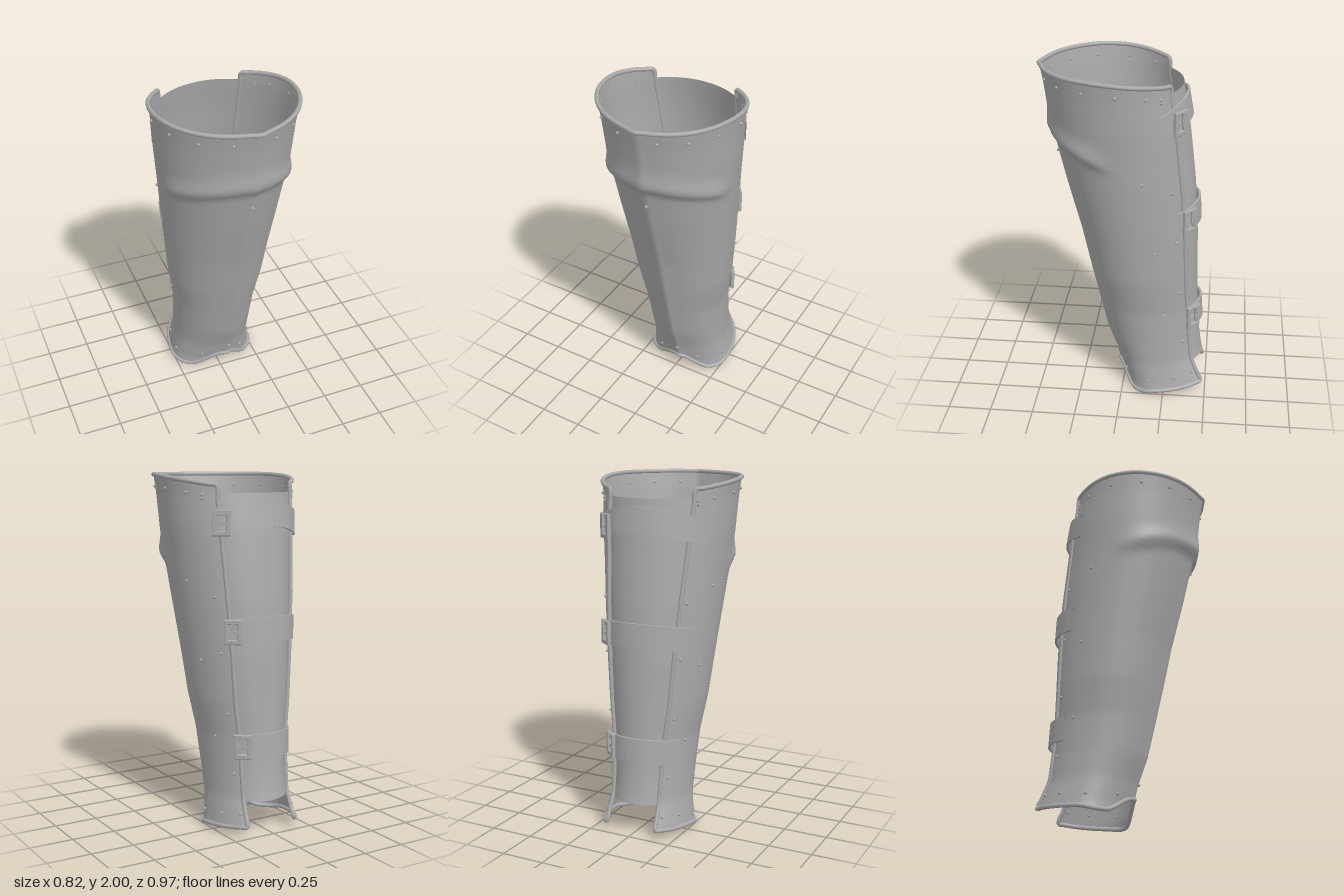
import * as THREE from 'three';
import { toCreasedNormals } from 'three/addons/utils/BufferGeometryUtils.js';

const steel = new THREE.MeshStandardMaterial({ color: 0xaaaaaa, side: THREE.DoubleSide });
steel.name = 'steel grey';

// Section profile by height: y, half width, front z, widest z, back z
const PROFILE = [
  [0.0, 0.262, 0.0, -0.2, -0.56],
  [0.06, 0.25, 0.01, -0.2, -0.55],
  [0.2, 0.233, 0.045, -0.18, -0.478],
  [0.35, 0.235, 0.1, -0.16, -0.458],
  [0.55, 0.246, 0.148, -0.13, -0.445],
  [0.75, 0.28, 0.195, -0.1, -0.438],
  [1.0, 0.305, 0.25, -0.07, -0.432],
  [1.3, 0.335, 0.33, -0.03, -0.413],
  [1.5, 0.355, 0.378, 0.0, -0.39],
  [1.7, 0.375, 0.425, 0.015, -0.365],
  [1.88, 0.387, 0.45, 0.025, -0.333],
  [2.0, 0.4, 0.472, 0.03, -0.32],
];
function section(y) {
  let i = 0;
  while (i < PROFILE.length - 2 && PROFILE[i + 1][0] < y) i++;
  const a = PROFILE[i], b = PROFILE[i + 1];
  const t = THREE.MathUtils.clamp((y - a[0]) / (b[0] - a[0]), 0, 1);
  return a.map((v, k) => v + (b[k] - v) * t);
}

// Point on the leg surface: angle 0 is the front, PI the back, positive towards +x
function surface(angle, y, off = 0) {
  const [, w, zf, zc, zb] = section(y);
  const a = Math.abs(angle), s = Math.sin(angle), c = Math.cos(angle);
  const keel = Math.exp(-a / 0.16);
  // Ridge below the knee, sagging towards the sides
  const d = y - (1.625 - 0.11 * Math.min(1, (a / 1.35) ** 1.5));
  const fade = 1 - THREE.MathUtils.smoothstep(a, 1.0, 1.6);
  const ridge = 0.026 * fade * Math.exp(-((d / (d > 0 ? 0.07 : 0.035)) ** 2));
  const r = off + ridge;
  const depth = c > 0 ? zf - zc - 0.022 : zc - zb;
  return new THREE.Vector3(
    w * s + 0.035 * Math.exp(-a / 0.5) + r * s, y, zc + depth * c + 0.022 * keel + r * c);
}

// Smooth sheet from a function of u and v
function sheet(nu, nv, f) {
  const pos = [], index = [];
  for (let j = 0; j <= nv; j++) {
    for (let i = 0; i <= nu; i++) {
      pos.push(...f(i / nu, j / nv).toArray());
      if (i < nu && j < nv) {
        const a = j * (nu + 1) + i, b = a + nu + 1;
        index.push(a, a + 1, b, a + 1, b + 1, b);
      }
    }
  }
  const g = new THREE.BufferGeometry();
  g.setAttribute('position', new THREE.Float32BufferAttribute(pos, 3));
  g.setIndex(index);
  g.computeVertexNormals();
  return g;
}

// Upper and lower borders of the shell
const topY = (a) => 1.986 - 0.055 * (Math.max(0, Math.abs(a) - 1.2) / 1.3) ** 1.5;
const bottomY = (a) => {
  const t = Math.abs(a);
  return 0.014 + 0.052 * (1 + Math.cos(Math.PI * Math.min(t / 0.85, 1)))
    + 0.045 * Math.max(0, t - 1.1) / 1.4;
};
function shellPoint(u, v) {
  const left = Math.PI - THREE.MathUtils.lerp(0.68, 0.62, v);
  const right = Math.PI - THREE.MathUtils.lerp(0.68, 0.78, v);
  const k = 2 * u - 1;
  const angle = k * (k > 0 ? left : right);
  return surface(angle, THREE.MathUtils.lerp(bottomY(angle), topY(angle), v));
}

export function createModel() {
  const model = new THREE.Group();
  model.name = 'legArmor';
  const add = (name, geometry, parent = model) => {
    const mesh = new THREE.Mesh(geometry, steel);
    mesh.name = name;
    parent.add(mesh);
    return mesh;
  };

  // Front shell, open at the back
  add('shell', sheet(80, 80, shellPoint));

  // Rolled rim round all four borders
  const path = [];
  const N = 48, M = 24;
  for (let i = 0; i < N; i++) path.push(shellPoint(i / N, 1));
  for (let i = 0; i < M; i++) path.push(shellPoint(1, 1 - i / M));
  for (let i = 0; i < N; i++) path.push(shellPoint(1 - i / N, 0));
  for (let i = 0; i < M; i++) path.push(shellPoint(0, i / M));
  add('rolledRim', new THREE.TubeGeometry(
    new THREE.CatmullRomCurve3(path, true), 500, 0.0125, 8, true));

  // Calf plate behind the opening
  add('calfPlate', sheet(28, 40, (u, v) => surface(
    Math.PI + THREE.MathUtils.lerp(-0.85, 0.98, u), THREE.MathUtils.lerp(0.19, 1.89, v), -0.008)));

  // Three straps with buckles on the +x side
  const frame = new THREE.Shape();
  frame.moveTo(-0.045, -0.065).lineTo(0.045, -0.065).lineTo(0.045, 0.065).lineTo(-0.045, 0.065);
  const hole = new THREE.Path();
  hole.moveTo(-0.028, -0.046).lineTo(-0.028, 0.046).lineTo(0.028, 0.046).lineTo(0.028, -0.046);
  frame.holes.push(hole);
  const frameGeometry = new THREE.ExtrudeGeometry(frame, {
    depth: 0.014, bevelEnabled: true, bevelSize: 0.004, bevelThickness: 0.004, bevelSegments: 1 });

  const loop = [[0.004, -1], [0.017, -1], [0.017, 1], [0.004, 1], [0.004, -1]];
  for (const [y, lift, start] of [[1.71, 0.07, 0.92], [1.125, 0.03, 0.78], [0.485, 0.02, 0.72]]) {
    const strap = new THREE.Group();
    strap.name = 'strapWithBuckle';
    model.add(strap);
    const band = sheet(28, 4, (u, v) => {
      const d = THREE.MathUtils.lerp(-start, 1.02, u);
      const [off, side] = loop[Math.round(v * 4)];
      const yc = y + lift * Math.max(0, Math.cos(d * 1.6));
      // Angles past PI wrap to the -x side
      const angle = d > 0 ? d - Math.PI : d + Math.PI;
      return surface(angle, yc + side * 0.068, off);
    });
    add('strap', toCreasedNormals(band, 0.7), strap);

    const a = Math.PI - 0.6;
    const buckle = new THREE.Group();
    buckle.name = 'buckle';
    buckle.position.copy(surface(a, y + 0.02, 0.022));
    const tangent = surface(a + 0.1, y).sub(surface(a - 0.1, y));
    buckle.rotation.set(0, Math.atan2(-tangent.z, tangent.x), 0);
    // Face outwards
    const out = new THREE.Vector3(0, 0, 1).applyEuler(buckle.rotation);
    if (out.z > 0) buckle.rotation.y += Math.PI;
    strap.add(buckle);
    add('buckleFrame', frameGeometry, buckle);
    add('buckleBar', new THREE.BoxGeometry(0.09, 0.014, 0.014), buckle).position.z = 0.012;
    const prong = add('buckleProng', new THREE.BoxGeometry(0.012, 0.075, 0.01), buckle);
    prong.position.set(0, 0.03, 0.024);
  }

  // Rivets
  const rivetGeometry = new THREE.SphereGeometry(0.009, 8, 6);
  const rivets = new THREE.Group();
  rivets.name = 'rivets';
  model.add(rivets);
  const rivet = (a, y) => add('rivet', rivetGeometry, rivets).position.copy(surface(a, y, 0.003));
  rivet(0, 1.48);
  rivet(0, 0.2);
  for (const s of [-1, 1]) {
    for (const a of [0.3, 0.72, 1.15, 1.6, 2.05, 2.3]) rivet(s * a, topY(a) - 0.065);
    for (const [a, y] of [[1.85, 1.41], [1.9, 0.97], [1.95, 0.54]]) rivet(s * a, y);
    for (const a of [0.55, 1.4, 1.95, 2.35]) rivet(s * a, bottomY(a) + 0.07);
    for (const y of [1.86, 1.33, 1.02, 0.68, 0.34]) rivet(s * 2.3, y);
  }
  return model;
}
